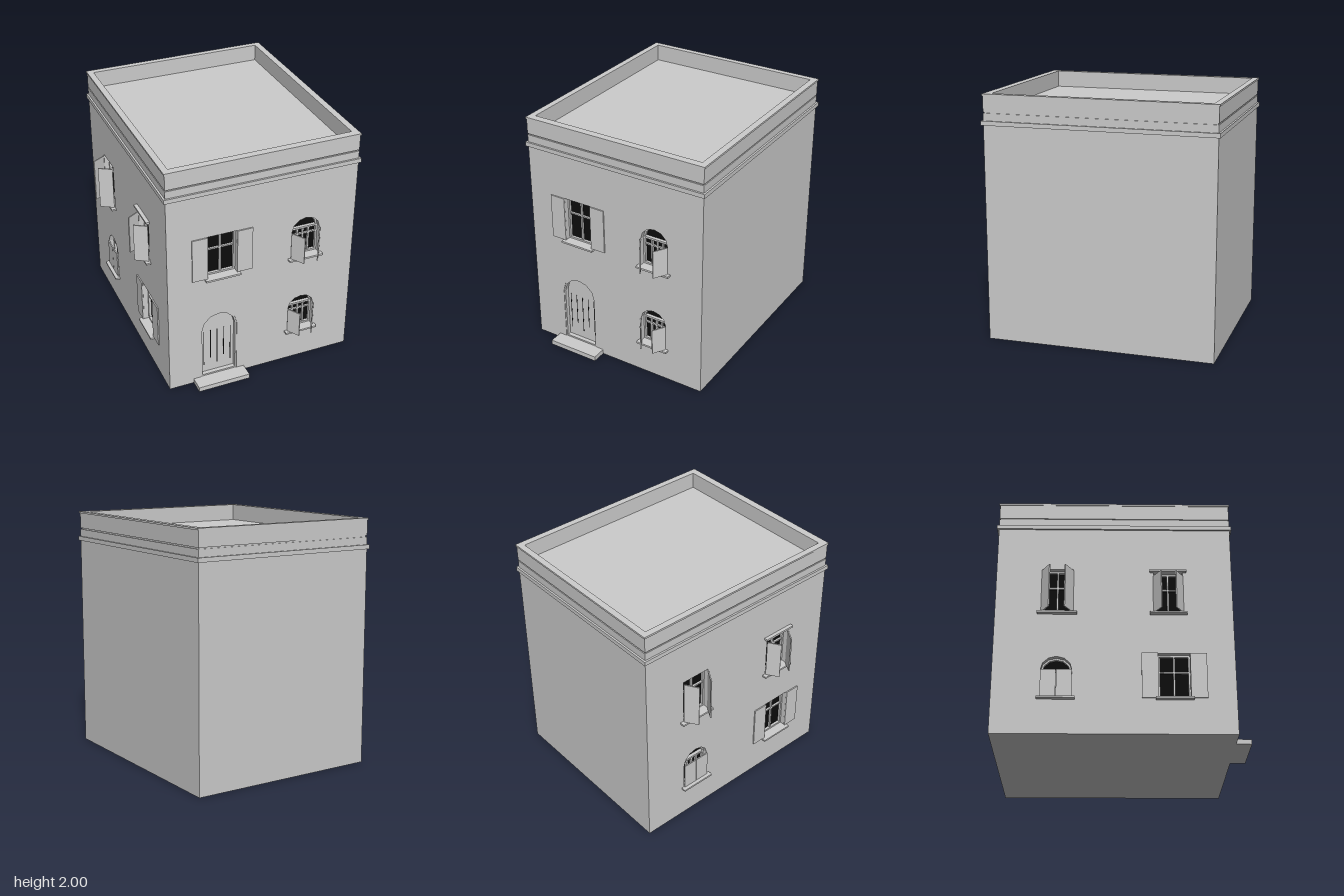
import * as THREE from 'three';

const stone = new THREE.MeshStandardMaterial({ color: 0xcccccc });
stone.name = 'pale grey';
const dark = new THREE.MeshStandardMaterial({ color: 0x0c0c0c });
dark.name = 'black';

// Box given by its minimum and maximum corners
function box(parent, name, x0, x1, y0, y1, z0, z1, mat = stone) {
  const m = new THREE.Mesh(new THREE.BoxGeometry(x1 - x0, y1 - y0, z1 - z0), mat);
  m.position.set((x0 + x1) / 2, (y0 + y1) / 2, (z0 + z1) / 2);
  m.name = name;
  parent.add(m);
  return m;
}

function extrude(parent, name, shape, z0, depth, mat = stone) {
  const g = new THREE.ExtrudeGeometry(shape, { depth, bevelEnabled: false });
  g.translate(0, 0, z0);
  const m = new THREE.Mesh(g, mat);
  m.name = name;
  parent.add(m);
  return m;
}

const rectPoints = (x0, x1, y0, y1) =>
  [[x0, y0], [x1, y0], [x1, y1], [x0, y1]].map(p => new THREE.Vector2(...p));

// Outline of an opening; a six-sided arch rises above the spring line
function outline({ x, w, y0, y1, spring }, inset = 0) {
  const h = w / 2 - inset;
  if (!spring) return rectPoints(x - h, x + h, y0 + inset, y1 - inset);
  const pts = [new THREE.Vector2(x - h, y0 + inset), new THREE.Vector2(x + h, y0 + inset)];
  for (let i = 0; i <= 6; i++) {
    const a = i * Math.PI / 6;
    pts.push(new THREE.Vector2(x + h * Math.cos(a), spring + (y1 - spring - inset) * Math.sin(a)));
  }
  return pts;
}

// Wall with openings; its outer face lies on local z = 0
function wall(parent, name, x0, x1, top, thick, openings) {
  const s = new THREE.Shape(rectPoints(x0, x1, 0, top));
  openings.forEach(o => s.holes.push(new THREE.Path(outline(o))));
  extrude(parent, name, s, -thick, thick);
}

function frame(parent, name, o, width, z0, depth) {
  const s = new THREE.Shape(outline(o));
  s.holes.push(new THREE.Path(outline(o, width)));
  extrude(parent, name, s, z0, depth);
}

// Window: pane, frame, bars, sill and a pair of hinged shutters
function addWindow(parent, o) {
  const g = new THREE.Group();
  g.name = 'window';
  parent.add(g);
  const { x, w, y0, y1, spring } = o;
  const h = w / 2;
  extrude(g, 'pane', new THREE.Shape(outline(o)), -0.068, 0.006, dark);
  frame(g, 'windowFrame', o, 0.014, -0.062, 0.022);
  const mid = o.bar ?? y0 + (y1 - y0) * 0.62;
  box(g, 'uprightBar', x - 0.007, x + 0.007, y0, spring ?? y1, -0.062, -0.045);
  box(g, 'crossBar', x - h, x + h, mid - 0.006, mid + 0.006, -0.062, -0.045);
  if (spring) {
    box(g, 'transom', x - h, x + h, spring - 0.006, spring + 0.01, -0.062, -0.035);
    for (const s of [-1, 1]) box(g, 'casement', x + s * 0.048 - 0.007, x + s * 0.048 + 0.007, y0, spring, -0.062, -0.045);
  }
  const sw = o.sill / 2;
  box(g, 'sill', x - sw, x + sw, y0 - 0.015, y0, -0.05, 0.04);
  if (o.lintel) box(g, 'lintel', x - sw, x + sw, y1 - 0.005, y1 + 0.012, -0.02, 0.03);
  const len = o.leaf, top = o.leafTop;
  for (const s of [-1, 1]) {
    const hinge = new THREE.Group();
    hinge.name = 'shutterHinge';
    hinge.position.set(x + s * h, 0, 0.006);
    hinge.rotation.y = s * o.open;
    g.add(hinge);
    box(hinge, 'shutter', s < 0 ? 0 : -len, s < 0 ? len : 0, y0, top, -0.005, 0.005);
  }
}

// Rectangular ring lying flat, between heights y0 and y1
function ring(parent, name, [x0, x1, z0, z1], [a0, a1, b0, b1], y0, y1) {
  const s = new THREE.Shape(rectPoints(x0, x1, -z1, -z0));
  s.holes.push(new THREE.Path(rectPoints(a0, a1, -b1, -b0)));
  const m = extrude(parent, name, s, y0, y1 - y0);
  m.rotation.x = -Math.PI / 2;
}

export function createModel() {
  const house = new THREE.Group();
  house.name = 'house';
  const X0 = -0.745, X1 = 0.835, Z0 = -0.98, Z1 = 0.88, T = 0.08, TOP = 1.85;
  const ajar = 1.03, flat = Math.PI;

  const frontWindows = [
    { x: -0.295, w: 0.245, y0: 1.005, y1: 1.38, bar: 1.235, sill: 0.29, leaf: 0.127, leafTop: 1.38, open: flat },
    { x: 0.41, w: 0.24, y0: 1.005, y1: 1.355, spring: 1.24, bar: 1.18, sill: 0.29, leaf: 0.122, leafTop: 1.24, open: ajar },
    { x: 0.398, w: 0.225, y0: 0.29, y1: 0.61, spring: 0.51, bar: 0.45, sill: 0.275, leaf: 0.115, leafTop: 0.51, open: ajar },
  ];
  const sideWindows = [
    { x: -0.495, w: 0.245, y0: 1.005, y1: 1.39, sill: 0.31, leaf: 0.122, leafTop: 1.375, open: ajar },
    { x: 0.375, w: 0.23, y0: 1.005, y1: 1.37, sill: 0.29, leaf: 0.115, leafTop: 1.33, open: ajar, lintel: true },
    { x: -0.49, w: 0.24, y0: 0.29, y1: 0.63, spring: 0.52, sill: 0.29, leaf: 0.118, leafTop: 0.52, open: 0 },
    { x: 0.41, w: 0.245, y0: 0.29, y1: 0.66, sill: 0.29, leaf: 0.127, leafTop: 0.66, open: flat },
  ];
  const door = { x: -0.32, w: 0.31, y0: 0.04, y1: 0.65, spring: 0.5 };

  // Solid core with two pierced walls on the front and right side
  box(house, 'core', X0 + T, X1, 0, TOP, Z0, Z1 - T);
  const front = new THREE.Group();
  front.name = 'frontFacade';
  front.position.z = Z1;
  const side = new THREE.Group();
  side.name = 'sideFacade';
  side.position.x = X0;
  side.rotation.y = -Math.PI / 2;
  house.add(front, side);
  wall(front, 'frontWall', X0, X1, TOP, T, [...frontWindows, door]);
  wall(side, 'sideWall', Z0, Z1 - T, TOP, T, sideWindows);
  frontWindows.forEach(o => addWindow(front, o));
  sideWindows.forEach(o => addWindow(side, o));

  // Arched door with plank grooves, and its step
  extrude(front, 'door', new THREE.Shape(outline(door)), -0.06, 0.02);
  frame(front, 'doorFrame', door, 0.013, -0.04, 0.035);
  for (let i = 0; i < 5; i++) {
    const x = -0.435 + i * 0.0575;
    box(front, 'plankGroove', x - 0.003, x + 0.003, 0.12 + (i % 2) * 0.06, 0.46, -0.041, -0.039, dark);
  }
  box(front, 'doorStep', -0.54, -0.1, 0, 0.04, -0.02, 0.12);

  // Cornice band, shadow joint with the roof floor, parapet and coping
  ring(house, 'cornice', [-0.76, 0.85, -0.995, 0.895], [X0 + 0.02, X1 - 0.02, Z0 + 0.02, Z1 - 0.02], 1.755, 1.79);
  box(house, 'roof', X0 + 0.008, X1 - 0.008, TOP, 1.862, Z0 + 0.008, Z1 - 0.008);
  const inner = [-0.7, 0.787, -0.935, 0.825];
  ring(house, 'parapet', [X0, X1, Z0, Z1], inner, 1.86, 1.985);
  ring(house, 'coping', [X0 - 0.006, X1 + 0.006, Z0 - 0.006, Z1 + 0.006], inner, 1.985, 2);
  return house;
}
